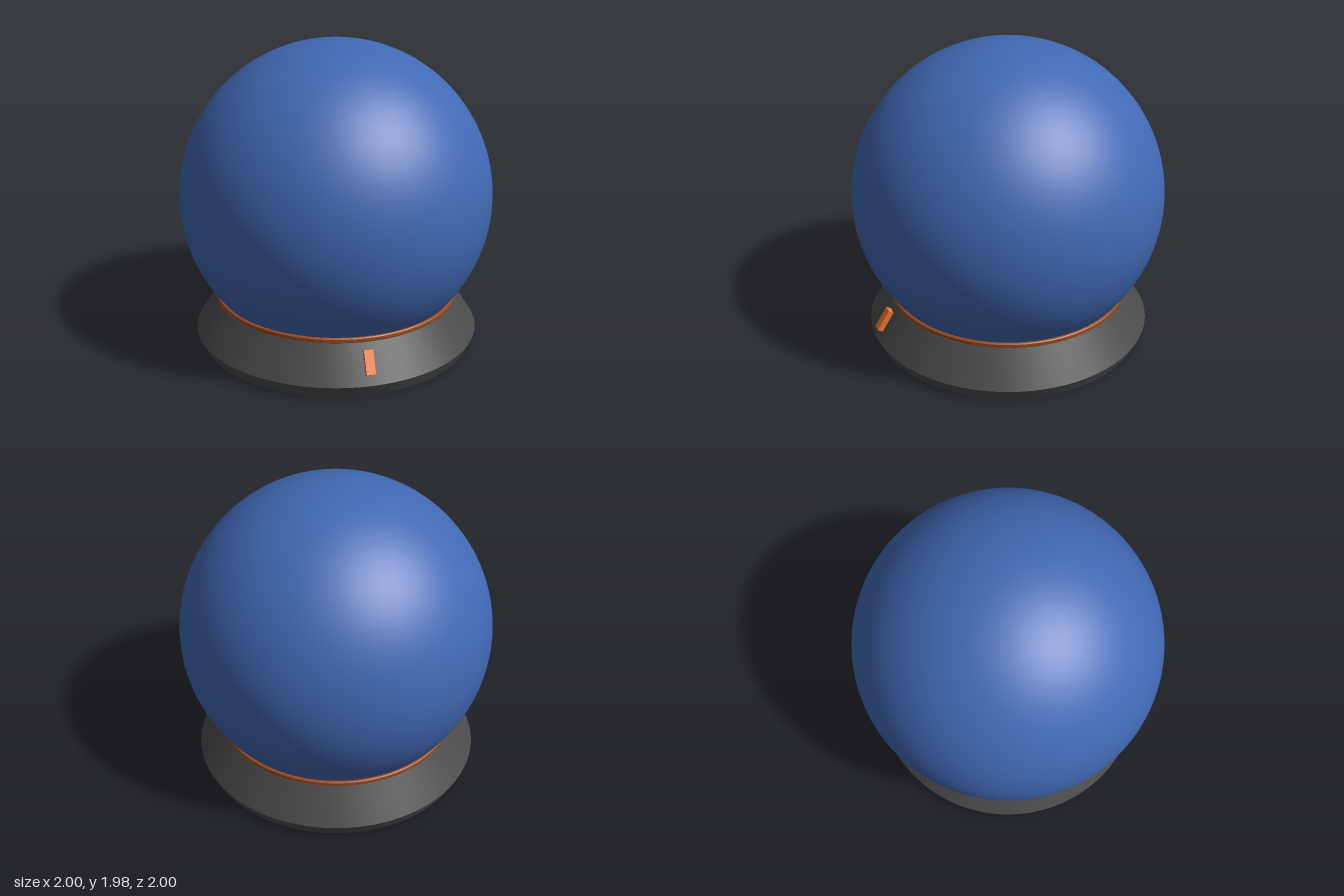
import * as THREE from 'three';
import { toCreasedNormals } from 'three/addons/utils/BufferGeometryUtils.js';

const SEGMENTS = 96;

function addMesh(group, name, geometry, color) {
  const mesh = new THREE.Mesh(geometry, new THREE.MeshStandardMaterial({ color }));
  mesh.name = name;
  group.add(mesh);
  return mesh;
}

// Turned solid with crisp edges, profile given as [radius, height] from bottom to top
function turned(profile) {
  const points = profile.map(([r, y]) => new THREE.Vector2(r, y));
  return toCreasedNormals(new THREE.LatheGeometry(points, SEGMENTS), 0.3);
}

export function createModel() {
  const group = new THREE.Group();
  group.name = 'globeOnStand';

  // Globe, cut off where it is hidden inside the stand
  const cut = Math.PI - Math.acos(0.73);
  const globe = addMesh(group, 'globe',
    new THREE.SphereGeometry(1, SEGMENTS, 64, 0, Math.PI * 2, 0, cut), 0x4169b4);
  globe.position.y = 0.98;

  // Stand: undercut foot, widest rim, sloping collar
  const rim = [0.925, 0.085];
  const collar = [0.785, 0.31];
  addMesh(group, 'stand',
    turned([[0, 0], [0.885, 0], rim, collar, [0.65, 0.31]]), 0x4b4b4b);

  // Thin band where the globe meets the stand
  addMesh(group, 'band',
    turned([[0.72, 0.308], [0.78, 0.308], [0.786, 0.314], [0.786, 0.334],
      [0.78, 0.34], [0.72, 0.34]]), 0x9a4a20);

  // Plain raised marker lying on the slope at the front
  const marker = addMesh(group, 'frontMarker',
    new THREE.BoxGeometry(0.058, 0.15, 0.036), 0xee7733);
  marker.position.set(0.012, 0.213, 0.866);
  marker.rotation.x = -Math.atan2(rim[0] - collar[0], collar[1] - rim[1]);

  return group;
}
